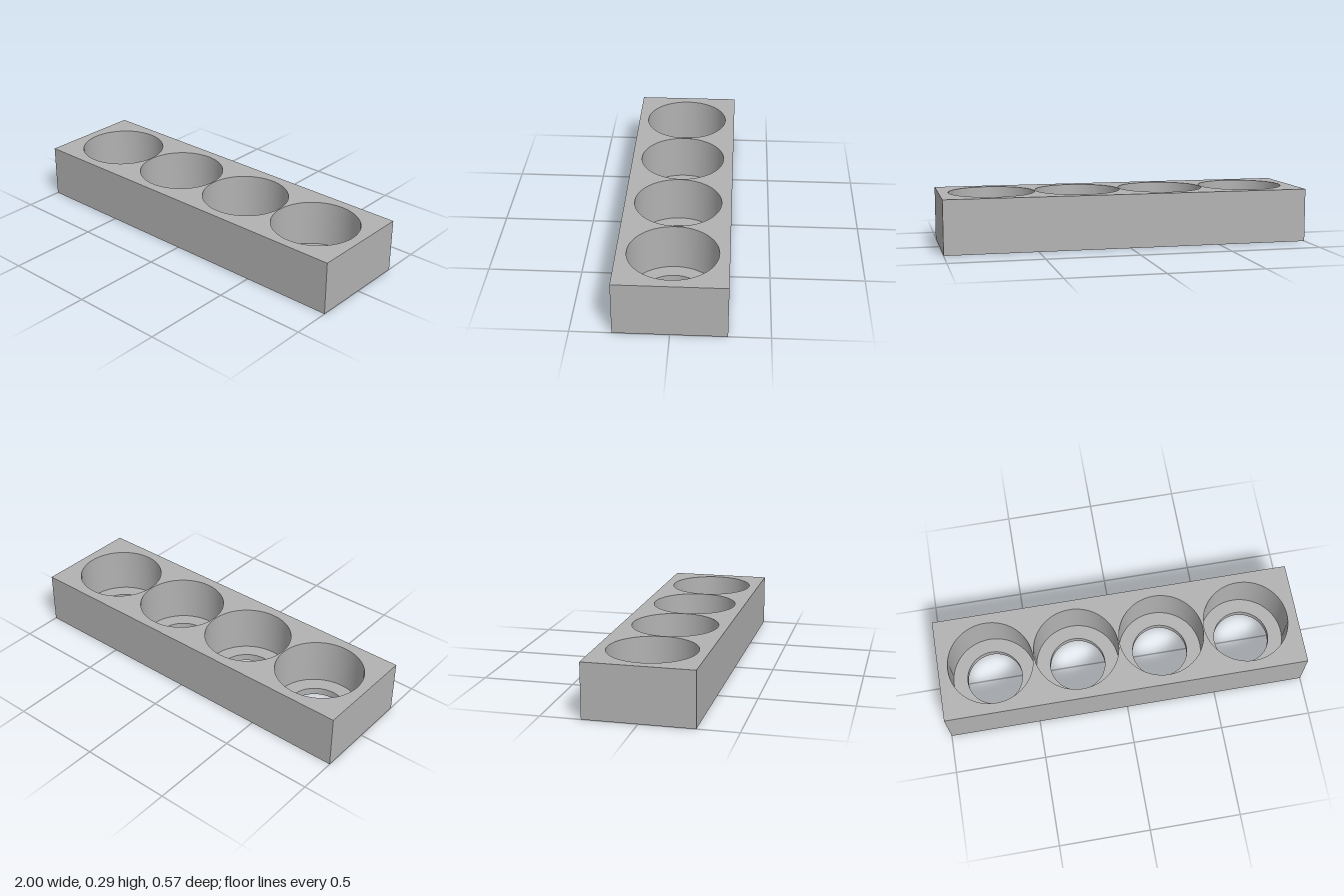
import * as THREE from 'three';

const WIDTH = 2, HEIGHT = 0.293, DEPTH = 0.575;
const FLOOR = 0.04, BORE = 0.234, HOLE = 0.155, PITCH = 0.475;
const CENTRES = [-1.5, -0.5, 0.5, 1.5].map((i) => i * PITCH);

// Rectangular plate outline with four round openings
function plate(radius) {
  const w = WIDTH / 2, d = DEPTH / 2;
  const shape = new THREE.Shape([
    new THREE.Vector2(-w, -d), new THREE.Vector2(w, -d),
    new THREE.Vector2(w, d), new THREE.Vector2(-w, d),
  ]);
  for (const x of CENTRES) shape.holes.push(new THREE.Path().absarc(x, 0, radius, 0, Math.PI * 2, true));
  return new THREE.ShapeGeometry(shape, 64);
}

export function createModel() {
  const group = new THREE.Group();
  group.name = 'fourHoleBlock';
  const grey = new THREE.MeshStandardMaterial({ color: 0xb2b2b2, side: THREE.DoubleSide });
  grey.name = 'grey';

  const add = (name, geometry, x = 0, y = 0, z = 0) => {
    const mesh = new THREE.Mesh(geometry, grey);
    mesh.name = name;
    mesh.position.set(x, y, z);
    group.add(mesh);
    return mesh;
  };

  // Top face with wide bores, underside with narrower through holes
  add('topFace', plate(BORE).rotateX(-Math.PI / 2), 0, HEIGHT);
  add('underside', plate(HOLE).rotateX(Math.PI / 2));

  // Four outer walls
  const mid = HEIGHT / 2;
  add('frontWall', new THREE.PlaneGeometry(WIDTH, HEIGHT), 0, mid, DEPTH / 2);
  add('backWall', new THREE.PlaneGeometry(WIDTH, HEIGHT).rotateY(Math.PI), 0, mid, -DEPTH / 2);
  add('leftWall', new THREE.PlaneGeometry(DEPTH, HEIGHT).rotateY(Math.PI / 2), WIDTH / 2, mid);
  add('rightWall', new THREE.PlaneGeometry(DEPTH, HEIGHT).rotateY(-Math.PI / 2), -WIDTH / 2, mid);

  // Stepped bores: wide wall, ledge, narrow wall (listed downwards so they face inwards)
  const profile = [[BORE, HEIGHT], [BORE, FLOOR], [HOLE, FLOOR], [HOLE, 0]]
    .map(([r, y]) => new THREE.Vector2(r, y));
  const steps = ['boreWall', 'boreLedge', 'holeWall']
    .map((name, i) => [name, new THREE.LatheGeometry(profile.slice(i, i + 2), 128)]);
  for (const x of CENTRES) {
    for (const [name, geometry] of steps) add(name, geometry, x);
  }
  return group;
}
